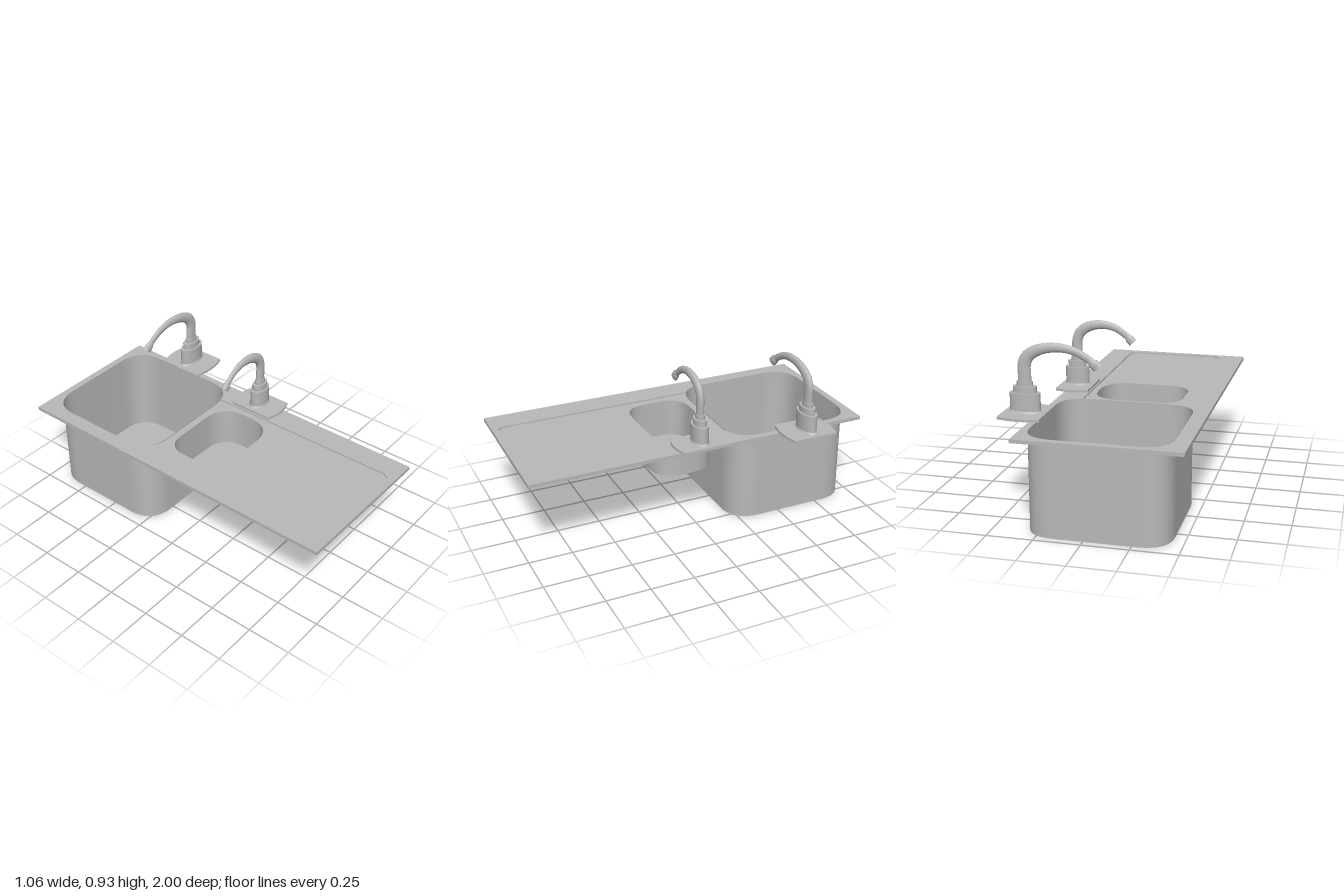
import * as THREE from 'three';

const V2 = (x, y) => new THREE.Vector2(x, y);

// Closed outline (x, z) of a bowl with soft corners; starts mid-way along its back side
function bowlOutline(x0, x1, z0, z1, rl, rr) {
  const s = new THREE.Shape();
  s.moveTo((x0 + x1) / 2, z0);
  s.lineTo(x1 - rr, z0);
  s.quadraticCurveTo(x1, z0, x1, z0 + rr);
  s.lineTo(x1, z1 - rr);
  s.quadraticCurveTo(x1, z1, x1 - rr, z1);
  s.lineTo(x0 + rl, z1);
  s.quadraticCurveTo(x0, z1, x0, z1 - rl);
  s.lineTo(x0, z0 + rl);
  s.quadraticCurveTo(x0, z0, x0 + rl, z0);
  s.closePath();
  const pts = s.getPoints(12);
  if (pts[0].distanceTo(pts[pts.length - 1]) < 1e-6) pts.pop();
  return pts;
}

// Horizontal slab from an (x, z) shape, given its top height and thickness
function slab(shape, top, thickness) {
  const g = new THREE.ExtrudeGeometry(shape, { depth: thickness, bevelEnabled: false, curveSegments: 16 });
  return g.rotateX(Math.PI / 2).translate(0, top, 0);
}

// Smooth vertical wall between two heights following an outline
function wallGeometry(pts, top, bottom) {
  const pos = [], idx = [], n = pts.length;
  pts.forEach(p => pos.push(p.x, top, p.y, p.x, bottom, p.y));
  for (let i = 0; i < n; i++) {
    const a = 2 * i, b = 2 * ((i + 1) % n);
    idx.push(a, b, a + 1, b, b + 1, a + 1);
  }
  const g = new THREE.BufferGeometry();
  g.setAttribute('position', new THREE.Float32BufferAttribute(pos, 3));
  g.setIndex(idx);
  g.computeVertexNormals();
  return g;
}

export function createModel() {
  const steel = new THREE.MeshStandardMaterial({ color: 0xb8b8b8, side: THREE.DoubleSide });
  steel.name = 'brushed steel';
  const model = new THREE.Group();
  model.name = 'kitchenSink';

  const add = (parent, name, geometry) => {
    const m = new THREE.Mesh(geometry, steel);
    m.name = name;
    parent.add(m);
    return m;
  };

  // Outlines of the two bowls
  const big = bowlOutline(-0.44, 0.32, -0.96, -0.205, 0.17, 0.17);
  const small = bowlOutline(-0.33, 0.175, -0.165, 0.2, 0.13, 0.16);

  // Shallow drainer recess, open towards the big bowl
  const recessPath = new THREE.Path();
  recessPath.moveTo(0.21, -0.2115);
  recessPath.lineTo(0.21, 0.905);
  recessPath.quadraticCurveTo(0.21, 0.955, 0.16, 0.955);
  recessPath.lineTo(-0.325, 0.955);
  recessPath.quadraticCurveTo(-0.375, 0.955, -0.375, 0.905);
  recessPath.lineTo(-0.375, -0.23);
  const recess = recessPath.getPoints(10);

  // Part of the big bowl's edge that borders the recess
  const borders = p => p.y > -0.3 && p.x > -0.374 && p.x < 0.209;
  const first = big.findIndex(borders);
  const shared = big.filter(borders);

  // Rim plate
  const rim = new THREE.Shape([V2(-0.52, -1), V2(0.36, -1), V2(0.345, 1), V2(-0.53, 0.99)]);
  rim.holes.push(new THREE.Path([
    ...big.slice(0, first), ...recess, ...big.slice(first + shared.length)]));
  add(model, 'rimPlate', slab(rim, 0.525, 0.02));

  // Drainer floor, cut out for the small bowl
  const drainer = new THREE.Shape([...recess, ...shared.slice().reverse()]);
  drainer.holes.push(new THREE.Path(small));
  add(model, 'drainerFloor', slab(drainer, 0.517, 0.01));

  // Bowls
  for (const [name, pts, top, bottom] of [
    ['mainBowl', big, 0.524, 0], ['smallBowl', small, 0.516, 0.29]]) {
    const bowl = new THREE.Group();
    bowl.name = name;
    add(bowl, name + 'Wall', wallGeometry(pts, top, bottom));
    const floor = new THREE.ShapeGeometry(new THREE.Shape(pts));
    add(bowl, name + 'Floor', floor.rotateX(Math.PI / 2).translate(0, bottom, 0));
    model.add(bowl);
  }

  // Taps: the same design, the rear one stretched sideways
  const curve = new THREE.CatmullRomCurve3([
    [0, 0.7], [0, 0.75], [0, 0.805], [-0.018, 0.853], [-0.068, 0.889], [-0.143, 0.904],
    [-0.215, 0.892], [-0.268, 0.863], [-0.305, 0.832], [-0.328, 0.807]
  ].map(([x, y]) => new THREE.Vector3(x, y, 0)));

  function spoutGeometry() {
    const rings = 48, sides = 20;
    const g = new THREE.TubeGeometry(curve, rings, 0.03, sides, false);
    const p = g.attributes.position, v = new THREE.Vector3();
    for (let i = 0; i <= rings; i++) {
      const t = i / rings, c = curve.getPointAt(t);
      // Taper along the arc, then a slightly wider nozzle
      const k = t > 0.92 ? 0.85 : 1 - 0.38 * THREE.MathUtils.smoothstep(t, 0.3, 0.9);
      for (let j = 0; j <= sides; j++) {
        const n = i * (sides + 1) + j;
        v.fromBufferAttribute(p, n).sub(c).multiplyScalar(k).add(c);
        p.setXYZ(n, v.x, v.y, v.z);
      }
    }
    g.computeVertexNormals();
    return g;
  }

  function tap(name, x, z, stretch) {
    const g = new THREE.Group();
    g.name = name;
    g.position.set(x, 0, z);
    g.scale.x = stretch;

    // Mounting plate with bowed ends
    const s = new THREE.Shape();
    s.moveTo(-0.095, -0.13);
    s.quadraticCurveTo(0, -0.17, 0.095, -0.13);
    s.lineTo(0.095, 0.13);
    s.quadraticCurveTo(0, 0.17, -0.095, 0.13);
    s.closePath();
    add(g, 'tapPlate', slab(s, 0.549, 0.014)).position.z = 0.004;

    // Oval stepped base
    const body = new THREE.Group();
    body.name = 'tapBody';
    body.scale.z = 0.65;
    for (const [part, rTop, rBottom, y0, y1] of [
      ['baseFlare', 0.068, 0.076, 0.549, 0.56], ['baseCollar', 0.069, 0.069, 0.56, 0.655],
      ['middleCollar', 0.053, 0.053, 0.655, 0.69], ['topCollar', 0.036, 0.036, 0.69, 0.715]]) {
      add(body, part, new THREE.CylinderGeometry(rTop, rBottom, y1 - y0, 32))
        .position.y = (y0 + y1) / 2;
    }

    // Arched spout and its closed tip
    add(body, 'spout', spoutGeometry());
    const tip = add(body, 'spoutTip', new THREE.CircleGeometry(0.0255, 20));
    tip.position.copy(curve.getPointAt(1));
    tip.quaternion.setFromUnitVectors(new THREE.Vector3(0, 0, 1), curve.getTangentAt(1));
    g.add(body);
    model.add(g);
  }
  tap('frontTap', 0.303, 0.008, 1);
  tap('rearTap', 0.41, -0.603, 1.22);

  return model;
}
